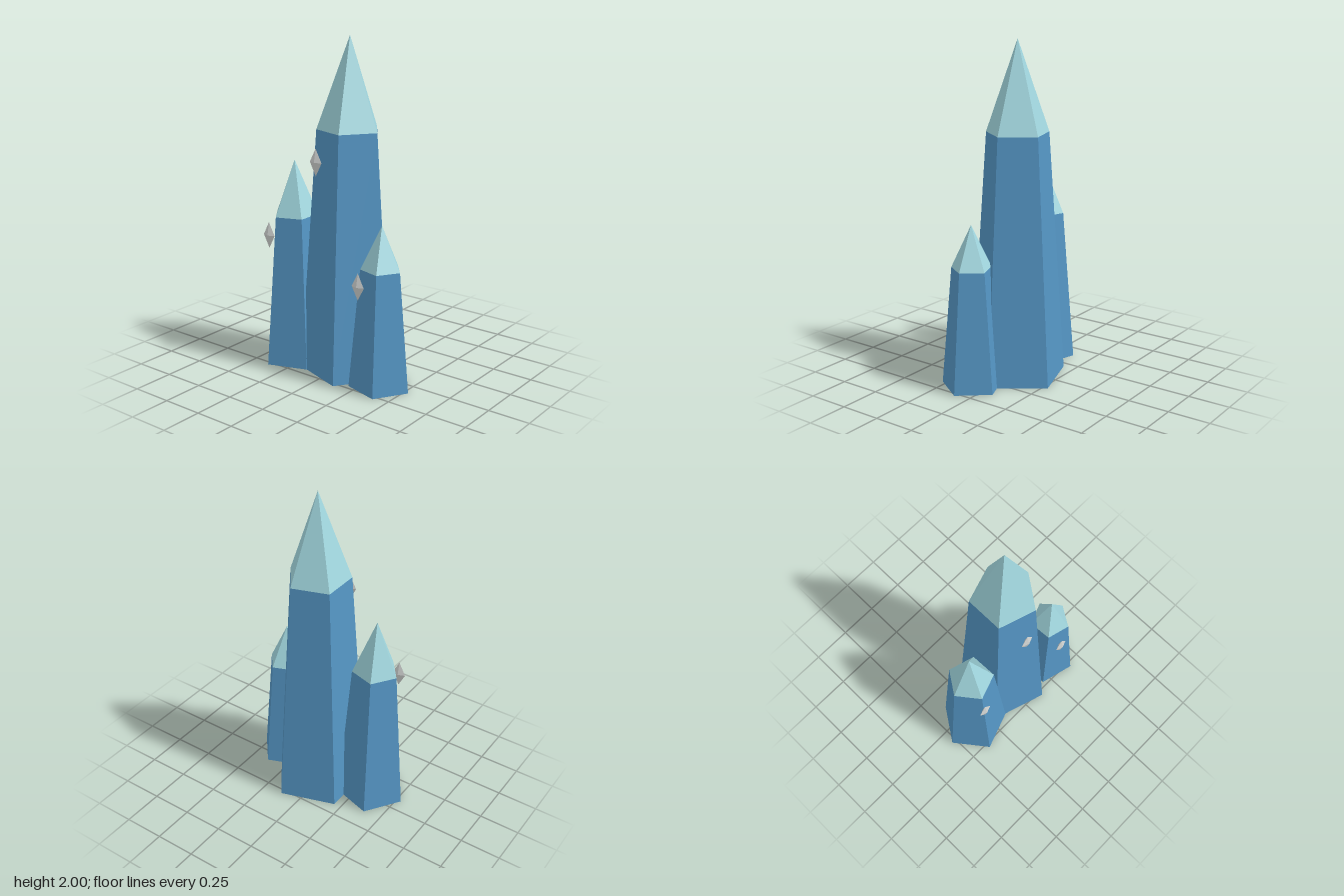
import * as THREE from 'three';

const mat = (name, color) => {
  const m = new THREE.MeshStandardMaterial({ color, flatShading: true });
  m.name = name;
  return m;
};

export function createModel() {
  const model = new THREE.Group();
  model.name = 'crystalCluster';
  const blue = mat('crystalBlue', 0x5596c5);
  const ice = mat('iceTip', 0xa2d8e0);
  const silver = mat('silverShard', 0xd2d5d3);

  const add = (parent, name, geometry, material, x, y, z) => {
    const mesh = new THREE.Mesh(geometry, material);
    mesh.name = name;
    mesh.position.set(x, y, z);
    parent.add(mesh);
    return mesh;
  };

  // Five-sided tapered shaft with a pointed tip; turn is the angle of a corner from +x towards +z
  const crystal = (name, x, z, radius, shaft, height, turn) => {
    const group = new THREE.Group();
    group.name = name;
    group.position.set(x, 0, z);
    const start = Math.PI / 2 - turn;
    const top = radius * 0.65;
    add(group, 'shaft', new THREE.CylinderGeometry(top, radius, shaft, 5, 1, false, start), blue, 0, shaft / 2, 0);
    const tip = height - shaft;
    add(group, 'tip', new THREE.ConeGeometry(top, tip, 5, 1, true, start), ice, 0, shaft + tip / 2, 0);
    model.add(group);
  };
  crystal('mainCrystal', 0.035, 0, 0.296, 1.465, 2, 0);
  crystal('rightCrystal', -0.318, 0.076, 0.213, 0.922, 1.255, 0.6);
  crystal('leftCrystal', 0.341, 0.105, 0.187, 0.714, 0.97, 1.2);

  // Small flattened shards floating in front of each crystal
  [[-0.025, 1.305, 0.238], [-0.375, 0.82, 0.25], [0.285, 0.637, 0.255]].forEach(([x, y, z], i) => {
    add(model, `shard${i + 1}`, new THREE.OctahedronGeometry(1), silver, x, y, z).scale.set(0.042, 0.08, 0.016);
  });
  return model;
}
